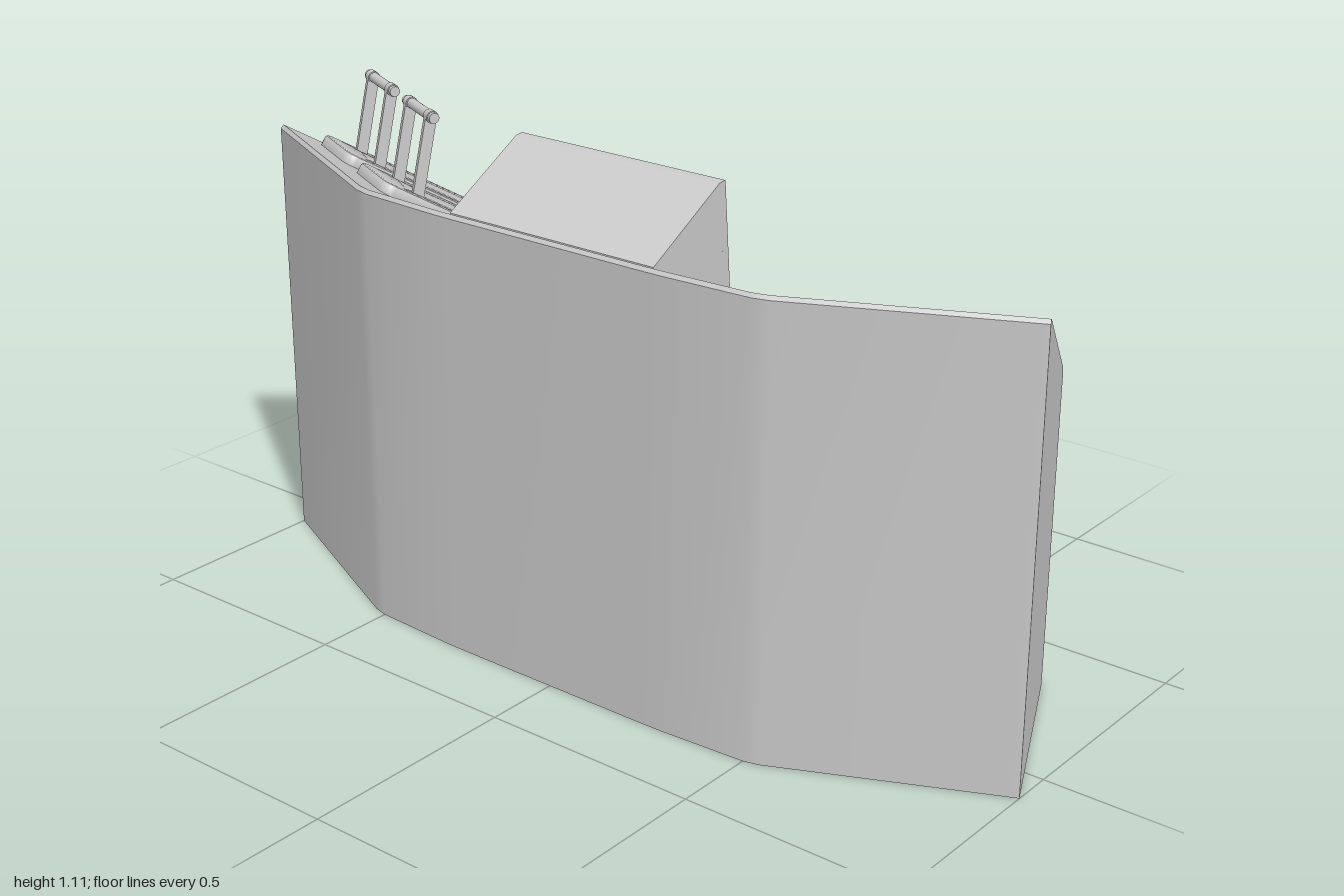
import * as THREE from 'three';
import { toCreasedNormals } from 'three/addons/utils/BufferGeometryUtils.js';

const grey = new THREE.MeshStandardMaterial({ color: 0xcccccc });

function add(parent, name, geometry, x = 0, y = 0, z = 0) {
  const mesh = new THREE.Mesh(geometry, grey);
  mesh.name = name;
  mesh.position.set(x, y, z);
  parent.add(mesh);
  return mesh;
}

// Rounded rectangle outline centred on (x, y)
function roundedRect(Type, x, y, w, h, r) {
  const p = new Type();
  const a = w / 2 - r, b = h / 2 - r;
  p.absarc(x + a, y + b, r, 0, Math.PI / 2);
  p.absarc(x - a, y + b, r, Math.PI / 2, Math.PI);
  p.absarc(x - a, y - b, r, Math.PI, Math.PI * 1.5);
  p.absarc(x + a, y - b, r, Math.PI * 1.5, Math.PI * 2);
  p.closePath();
  return p;
}

// Desk shell: profiles lofted from end to end, with a kneehole in the middle
function deskGeometry() {
  const K = 0.375, CEIL = 0.65; // kneehole depth fraction and ceiling height
  const profile = (open) => [
    [0, 0], [0, 0.98], [0.015, 0.988], [0.975, 0.724], [1, 0.705],
    [1, CEIL], open ? [K, CEIL] : [1, 0], [K, 0],
  ];
  // front x, front z, back x, back z, kneehole open
  const half = [
    [-1, 0.09, -0.8, -0.33, false],
    [-0.535, 0.308, -0.325, -0.117, false],
    [-0.5, 0.317, -0.295, -0.11, false],
    [-0.3, 0.328, -0.27, -0.11, false],
    [-0.24, 0.329, -0.24, -0.11, false],
    [-0.24, 0.329, -0.24, -0.11, true],
  ];
  const stations = [...half, ...half.map(([a, b, c, d, o]) => [-a, b, -c, d, o]).reverse()];
  const pos = [], index = [], n = 8;
  for (const [fx, fz, bx, bz, open] of stations)
    for (const [t, y] of profile(open)) pos.push(fx + (bx - fx) * t, y, fz + (bz - fz) * t);
  for (let i = 0; i < stations.length - 1; i++)
    for (let j = 0; j < n; j++) {
      const a = i * n + j, d = i * n + (j + 1) % n;
      index.push(a, a + n, d + n, a, d + n, d);
    }
  // End panels
  const last = (stations.length - 1) * n;
  for (let j = 1; j < n - 1; j++) {
    index.push(0, j, j + 1);
    index.push(last, last + j + 1, last + j);
  }
  const g = new THREE.BufferGeometry();
  g.setAttribute('position', new THREE.Float32BufferAttribute(pos, 3));
  g.setIndex(index);
  return toCreasedNormals(g, 0.6);
}

// Group lying on a sloped top: x along the desk, y out of it, -z down the slope
function slopeGroup(name, x, y, z, yaw, pitch) {
  const g = new THREE.Group();
  g.name = name;
  g.rotation.set(-pitch, yaw, 0, 'YXZ');
  g.position.set(x, y, z);
  return g;
}

// Lever unit: slotted plate with a two-post handle
function leverUnit() {
  const g = new THREE.Group();
  g.name = 'leverUnit';
  const shape = roundedRect(THREE.Shape, 0, 0, 0.185, 0.42, 0.028);
  for (const s of [-1, 1]) shape.holes.push(roundedRect(THREE.Path, s * 0.058, 0.01, 0.012, 0.29, 0.005));
  const plate = new THREE.ExtrudeGeometry(shape, {
    depth: 0.022, bevelThickness: 0.006, bevelSize: 0.006, bevelOffset: -0.006, bevelSegments: 2, curveSegments: 5,
  });
  plate.rotateX(-Math.PI / 2);
  add(g, 'leverPlate', toCreasedNormals(plate, 0.6), 0, 0.003, 0);

  const base = new THREE.Vector2(0.11, 0.005), top = new THREE.Vector2(0.175, 0.195); // (z, y)
  const d = top.clone().sub(base);
  for (const s of [-1, 1]) {
    const post = add(g, 'handlePost', new THREE.BoxGeometry(0.011, d.length(), 0.026),
      s * 0.06, (base.y + top.y) / 2, (base.x + top.x) / 2);
    post.rotation.x = Math.atan2(d.x, d.y);
    add(g, 'handleCollar', new THREE.CylinderGeometry(0.014, 0.014, 0.02, 16), s * 0.062, top.y, top.x).rotation.z = Math.PI / 2;
  }
  add(g, 'handleBar', new THREE.CylinderGeometry(0.0115, 0.0115, 0.165, 16), 0, top.y, top.x).rotation.z = Math.PI / 2;
  return g;
}

// Grid of small square keys
function keys(parent, xs, zs) {
  const geo = new THREE.BoxGeometry(0.02, 0.014, 0.02);
  for (const x of xs) for (const z of zs) add(parent, 'key', geo, x, 0.004, z);
}

const spread = (from, to, n) => Array.from({ length: n }, (_, i) => from + (to - from) * i / (n - 1));

// Screen hood: wedge with a raised rim around the screen
function screenHood() {
  const g = new THREE.Group();
  g.name = 'screenHood';
  const W = 0.53, side = new THREE.Shape();
  // Drawn as (-z, y), then turned so the extrusion runs along x
  [[-0.31, 0.985], [-0.31, 0.9], [-0.08, 0.79], [-0.106, 1.103]].forEach(([a, b], i) =>
    i ? side.lineTo(a, b) : side.moveTo(a, b));
  const wedge = new THREE.ExtrudeGeometry(side, { depth: W, bevelEnabled: false });
  wedge.rotateY(Math.PI / 2).translate(-W / 2, 0, 0);
  add(g, 'hoodBody', wedge);

  const H = 0.285;
  const frame = new THREE.Shape([[-W / 2, 0], [W / 2, 0], [W / 2, H], [-W / 2, H]].map((p) => new THREE.Vector2(...p)));
  frame.holes.push(roundedRect(THREE.Path, 0, H / 2, W - 0.026, H - 0.026, 0.004));
  const rim = new THREE.ExtrudeGeometry(frame, { depth: 0.018, bevelEnabled: false, curveSegments: 2 });
  rim.translate(0, -H, -0.018);
  const mesh = add(g, 'screenRim', rim, 0, 1.103, 0.106);
  mesh.rotation.x = 0.083;
  return g;
}

export function createModel() {
  const model = new THREE.Group();
  model.name = 'controlDesk';
  add(model, 'deskBody', deskGeometry());
  model.add(screenHood());

  // Keyboard panel below the screen
  const centre = slopeGroup('centreTop', 0, 0.988, 0.329, 0, 0.559);
  add(centre, 'keyboardPanel', new THREE.BoxGeometry(0.51, 0.01, 0.155), 0, -0.002, -0.405);
  model.add(centre);

  // Lever wing
  const leverWing = slopeGroup('leverWing', -1, 0.986, 0.09, -0.438, 0.534);
  for (const u of [0.137, 0.377]) {
    const unit = leverUnit();
    unit.position.set(u, 0, -0.29);
    leverWing.add(unit);
  }
  model.add(leverWing);

  // Key wing: flat panel with keys beside and in front of it
  const keyWing = slopeGroup('keyWing', 1, 0.986, 0.09, 0.438, 0.534);
  add(keyWing, 'touchPanel', new THREE.BoxGeometry(0.213, 0.01, 0.275), -0.213, -0.003, -0.329);
  keys(keyWing, spread(-0.455, -0.375, 3), spread(-0.48, -0.078, 9));
  keys(keyWing, spread(-0.26, -0.082, 5), spread(-0.152, -0.082, 3));
  model.add(keyWing);
  return model;
}
